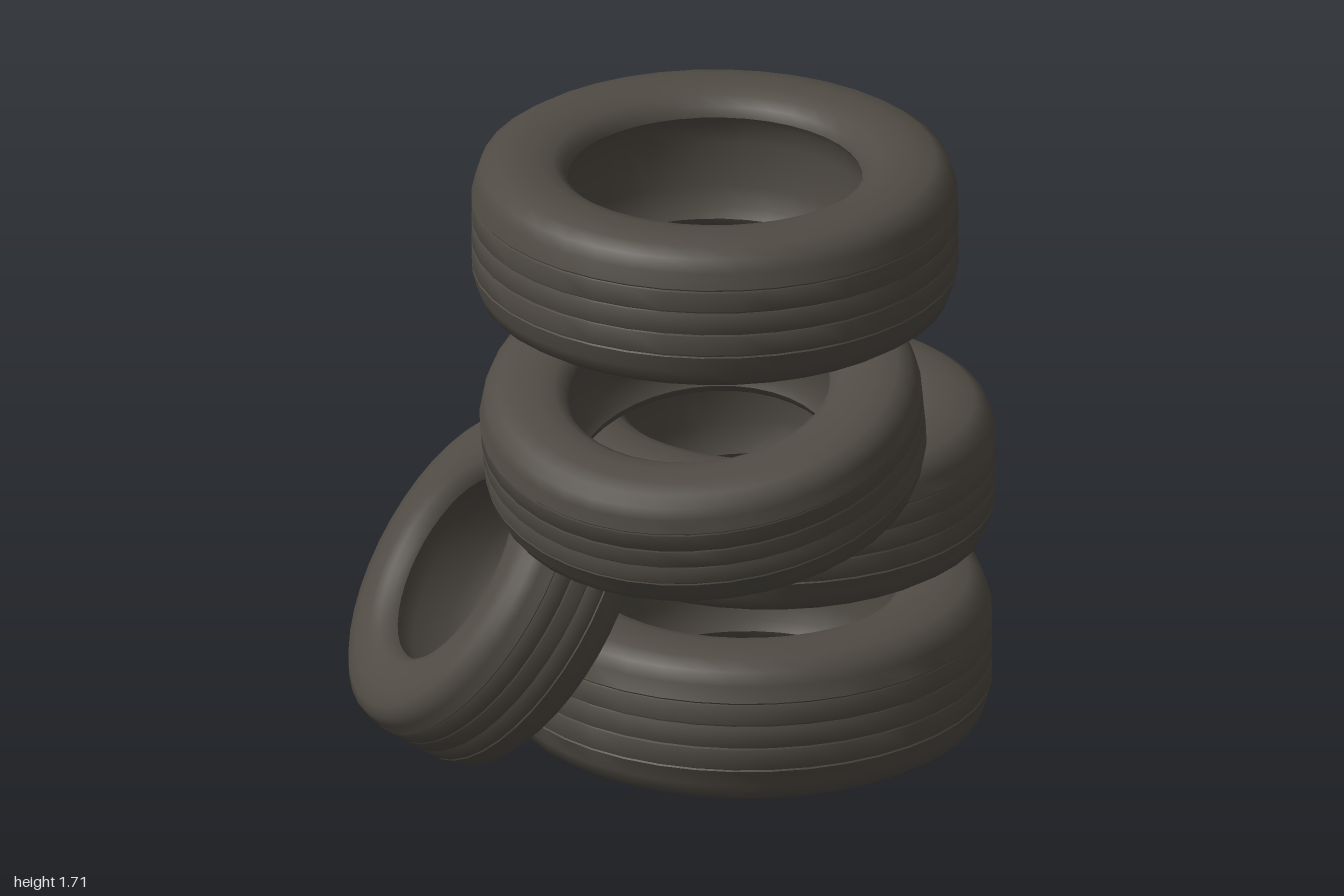
import * as THREE from 'three';
import { toCreasedNormals } from 'three/addons/utils/BufferGeometryUtils.js';

const rubber = new THREE.MeshStandardMaterial({ color: 0x504b44 });
rubber.name = 'worn dark rubber';

// Closed tyre section: x is a fraction of the radius, y of the half width
function tyreSection(bore) {
  const tread = [[0.82, -1], [0.905, -0.96], [0.96, -0.85], [0.982, -0.68]];
  for (const y of [-0.45, -0.15, 0.15, 0.45]) {
    tread.push([0.998, y - 0.02], [0.994, y], [0.998, y + 0.02]); // worn groove
  }
  tread.push([0.982, 0.68], [0.96, 0.85], [0.905, 0.96], [0.82, 1]);
  // Rounded sidewall, bead lip and slightly recessed lining
  const bead = [[0.13, 0.99], [0.06, 0.93], [0.015, 0.83], [0, 0.7], [0.025, 0.58], [0.045, 0.3]]
    .map(([r, y]) => [bore + r, y]);
  const beadBelow = bead.map(([r, y]) => [r, -y]).reverse();
  return [...tread, ...bead, ...beadBelow, tread[0]];
}

function makeTyre({ name, radius, width, bore, at, axis }) {
  const points = tyreSection(bore).map(([r, y]) => new THREE.Vector2(r * radius, y * width / 2));
  const geometry = toCreasedNormals(new THREE.LatheGeometry(points, 40), 0.7);
  const tyre = new THREE.Mesh(geometry, rubber);
  tyre.name = name;
  tyre.position.set(...at);
  tyre.quaternion.setFromUnitVectors(
    new THREE.Vector3(0, 1, 0), new THREE.Vector3(...axis).normalize());
  return tyre;
}

export function createModel() {
  const group = new THREE.Group();
  group.name = 'tyreStack';
  const tyres = [
    { name: 'bottomTyre', radius: 0.69, width: 0.445, bore: 0.605, at: [0.1, 0.237, 0.145], axis: [0, 1, 0] },
    { name: 'secondTyre', radius: 0.652, width: 0.415, bore: 0.605, at: [0.31, 0.67, -0.02], axis: [0.012, 1, 0.005] },
    { name: 'tiltedFrontTyre', radius: 0.625, width: 0.38, bore: 0.59, at: [-0.205, 1.03, 0.3], axis: [-0.22, 1, 0.115] },
    { name: 'tiltedBackTyre', radius: 0.52, width: 0.35, bore: 0.575, at: [0.48, 1.078, -0.405], axis: [0.13, 1, -0.06] },
    { name: 'topTyre', radius: 0.686, width: 0.443, bore: 0.605, at: [0.045, 1.494, 0.07], axis: [0, 1, 0] },
    { name: 'leaningTyre', radius: 0.5, width: 0.36, bore: 0.57, at: [-0.562, 0.485, -0.18], axis: [-0.74, 0.56, -0.37] },
  ];
  for (const spec of tyres) group.add(makeTyre(spec));
  return group;
}
